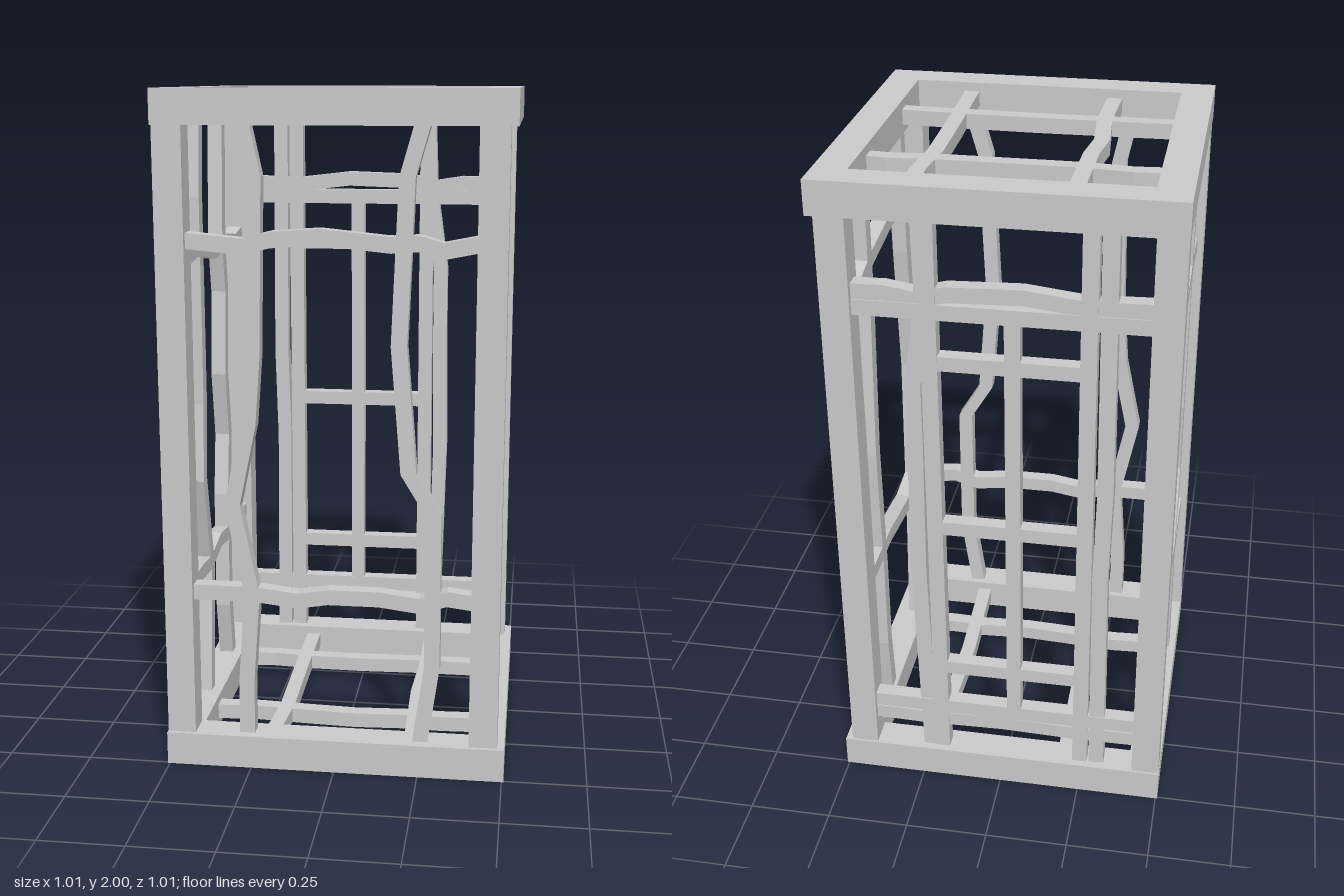
import * as THREE from 'three';

const material = new THREE.MeshStandardMaterial({ color: 0xcccccc, flatShading: true });
const AXES = {
  x: new THREE.Vector3(1, 0, 0),
  y: new THREE.Vector3(0, 1, 0),
  z: new THREE.Vector3(0, 0, 1),
};

function addBox(parent, name, size, position) {
  const mesh = new THREE.Mesh(new THREE.BoxGeometry(...size), material);
  mesh.name = name;
  mesh.position.set(...position);
  parent.add(mesh);
}

// Square bar running along one axis and bending along another.
// points: [distance along, sideways offset]; origin places the bar's plane.
function addBentBar(parent, name, along, side, points, origin, thick = 0.046) {
  const n = points.length - 1;
  let geo = new THREE.BoxGeometry(thick, 1, thick, 1, n, 1);
  const p = geo.attributes.position;
  for (let i = 0; i < p.count; i++) {
    const [t, offset] = points[Math.round((p.getY(i) + 0.5) * n)];
    p.setXYZ(i, p.getX(i) + offset, t, p.getZ(i));
  }
  const depth = AXES[side].clone().cross(AXES[along]);
  geo.applyMatrix4(new THREE.Matrix4().makeBasis(AXES[side], AXES[along], depth));
  geo = geo.toNonIndexed();
  geo.computeVertexNormals();
  const mesh = new THREE.Mesh(geo, material);
  mesh.name = name;
  mesh.position.set(...origin);
  parent.add(mesh);
}

// Square ring with an open middle
function addRing(parent, name, y) {
  const shape = new THREE.Shape();
  const o = 0.506, i = 0.408;
  shape.moveTo(-o, -o).lineTo(o, -o).lineTo(o, o).lineTo(-o, o).closePath();
  const hole = new THREE.Path();
  hole.moveTo(-i, -i).lineTo(-i, i).lineTo(i, i).lineTo(i, -i).closePath();
  shape.holes.push(hole);
  const geo = new THREE.ExtrudeGeometry(shape, { depth: 0.1, bevelEnabled: false });
  geo.rotateX(-Math.PI / 2);
  const mesh = new THREE.Mesh(geo, material);
  mesh.name = name;
  mesh.position.y = y;
  parent.add(mesh);
}

function addGroup(parent, name) {
  const g = new THREE.Group();
  g.name = name;
  parent.add(g);
  return g;
}

export function createModel() {
  const model = new THREE.Group();
  model.name = 'cage';

  // Frame: two rings and four corner posts
  const frame = addGroup(model, 'frame');
  addRing(frame, 'bottomRing', 0);
  addRing(frame, 'topRing', 1.9);
  for (const x of [-0.462, 0.443])
    for (const z of [-0.457, 0.452])
      addBox(frame, 'cornerPost', [0.084, 1.8, 0.084], [x, 1, z]);

  // Front bars
  const front = addGroup(model, 'frontBars');
  const zf = [0, 0, 0.452];
  addBentBar(front, 'uprightBar', 'y', 'x', [[0.1, -0.265], [0.26, -0.265], [0.54, -0.245],
    [0.81, -0.3], [1.05, -0.25], [1.25, -0.235], [1.76, -0.225], [1.9, -0.255]], zf);
  addBentBar(front, 'uprightBar', 'y', 'x', [[0.1, 0.255], [0.33, 0.288], [0.8, 0.288],
    [0.92, 0.215], [1.29, 0.185], [1.76, 0.205], [1.9, 0.245]], zf);
  addBentBar(front, 'crossBar', 'x', 'y', [[-0.42, 1.58], [-0.26, 1.565], [-0.18, 1.585],
    [-0.04, 1.595], [0.16, 1.575], [0.24, 1.58], [0.31, 1.56], [0.41, 1.58]], zf);
  addBentBar(front, 'crossBar', 'x', 'y', [[-0.42, 0.54], [-0.24, 0.54], [-0.11, 0.525],
    [-0.02, 0.54], [0.13, 0.54], [0.25, 0.525], [0.33, 0.55], [0.41, 0.54]], zf);

  // Left-hand (+x) side bars
  const left = addGroup(model, 'leftBars');
  const xl = [0.443, 0, 0];
  addBentBar(left, 'uprightBar', 'y', 'z', [[0.1, 0.222], [0.45, 0.25], [1.08, 0.278],
    [1.5, 0.242], [1.9, 0.225]], xl);
  addBentBar(left, 'uprightBar', 'y', 'z', [[0.1, -0.205], [0.3, -0.228], [0.6, -0.225],
    [1.03, -0.24], [1.5, -0.208], [1.9, -0.205]], xl);
  addBentBar(left, 'crossBar', 'z', 'y', [[-0.42, 0.66], [-0.15, 0.665], [0.11, 0.63],
    [0.29, 0.65], [0.42, 0.66]], xl);
  addBentBar(left, 'crossBar', 'z', 'y', [[-0.42, 1.64], [-0.31, 1.617], [-0.18, 1.65],
    [0.02, 1.675], [0.16, 1.685], [0.24, 1.665], [0.42, 1.645]], xl);

  // Right-hand (-x) side bars
  const right = addGroup(model, 'rightBars');
  const xr = [-0.462, 0, 0];
  addBentBar(right, 'uprightBar', 'y', 'z', [[0.1, 0.165], [0.5, 0.128], [0.81, 0.21],
    [1.05, 0.188], [1.68, 0.19], [1.9, 0.17]], xr);
  addBentBar(right, 'uprightBar', 'y', 'z', [[0.1, -0.165], [0.28, -0.132], [0.67, -0.135],
    [0.87, -0.168], [1.08, -0.13], [1.35, -0.155], [1.5, -0.125], [1.9, -0.15]], xr);
  addBentBar(right, 'crossBar', 'z', 'y', [[-0.42, 0.53], [-0.21, 0.525], [0, 0.55],
    [0.14, 0.52], [0.27, 0.53], [0.42, 0.53]], xr);
  addBentBar(right, 'crossBar', 'z', 'y', [[-0.42, 1.51], [-0.31, 1.495], [-0.18, 1.51],
    [0, 1.495], [0.24, 1.53], [0.42, 1.51]], xr);

  // Back bars
  const back = addGroup(model, 'backBars');
  const zb = [0, 0, -0.457];
  addBentBar(back, 'uprightBar', 'y', 'x', [[0.1, -0.305], [0.8, -0.3], [1.1, -0.308],
    [1.9, -0.303]], zb);
  addBentBar(back, 'uprightBar', 'y', 'x', [[0.1, 0.228], [0.78, 0.245], [1.2, 0.24],
    [1.4, 0.24], [1.65, 0.205], [1.9, 0.195]], zb);
  addBentBar(back, 'crossBar', 'x', 'y', [[-0.42, 1.68], [-0.24, 1.675], [-0.07, 1.695],
    [0.14, 1.688], [0.22, 1.668], [0.31, 1.682], [0.41, 1.68]], zb);
  addBentBar(back, 'crossBar', 'x', 'y', [[-0.42, 0.21], [-0.25, 0.208], [0, 0.215],
    [0.25, 0.208], [0.41, 0.212]], zb);

  // Straight door lattice in the back
  const door = addGroup(model, 'door');
  for (const x of [-0.252, 0.19]) addBox(door, 'doorStile', [0.046, 1.8, 0.046], [x, 1, -0.46]);
  for (const y of [0.263, 1.635]) addBox(door, 'doorRail', [0.83, 0.046, 0.046], [-0.005, y, -0.46]);
  addBox(door, 'doorMiddleBar', [0.044, 1.37, 0.044], [-0.042, 0.95, -0.46]);
  for (const y of [0.42, 0.938, 1.48])
    addBox(door, 'doorRung', [0.44, 0.044, 0.044], [-0.03, y, -0.46]);

  // Roof bars
  const roof = addGroup(model, 'roofBars');
  const yr = [0, 1.95, 0];
  addBentBar(roof, 'roofBar', 'x', 'z', [[-0.41, -0.207], [-0.33, -0.213], [-0.2, -0.2],
    [0, -0.2], [0.2, -0.2], [0.35, -0.21], [0.41, -0.205]], yr);
  addBentBar(roof, 'roofBar', 'x', 'z', [[-0.41, 0.208], [-0.2, 0.205], [0, 0.202],
    [0.25, 0.207], [0.41, 0.212]], yr);
  addBentBar(roof, 'roofBar', 'z', 'x', [[-0.41, -0.195], [-0.1, -0.2], [0.02, -0.215],
    [0.2, -0.2], [0.41, -0.207]], yr);
  addBentBar(roof, 'roofBar', 'z', 'x', [[-0.41, 0.242], [-0.3, 0.245], [-0.15, 0.23],
    [0.1, 0.232], [0.41, 0.238]], yr);

  // Floor bars
  const floor = addGroup(model, 'floorBars');
  const yf = [0, 0.05, 0];
  addBentBar(floor, 'floorBar', 'x', 'z', [[-0.41, -0.227], [-0.3, -0.235], [-0.2, -0.225],
    [0, -0.222], [0.2, -0.23], [0.41, -0.23]], yf);
  addBentBar(floor, 'floorBar', 'x', 'z', [[-0.41, 0.21], [-0.28, 0.203], [-0.1, 0.215],
    [0.03, 0.222], [0.2, 0.212], [0.3, 0.217], [0.41, 0.212]], yf);
  addBentBar(floor, 'floorBar', 'z', 'x', [[-0.41, -0.198], [-0.08, -0.195], [0.2, -0.19],
    [0.35, -0.2], [0.41, -0.197]], yf);
  addBentBar(floor, 'floorBar', 'z', 'x', [[-0.41, 0.222], [-0.2, 0.225], [0.05, 0.215],
    [0.3, 0.222], [0.41, 0.225]], yf);

  return model;
}
